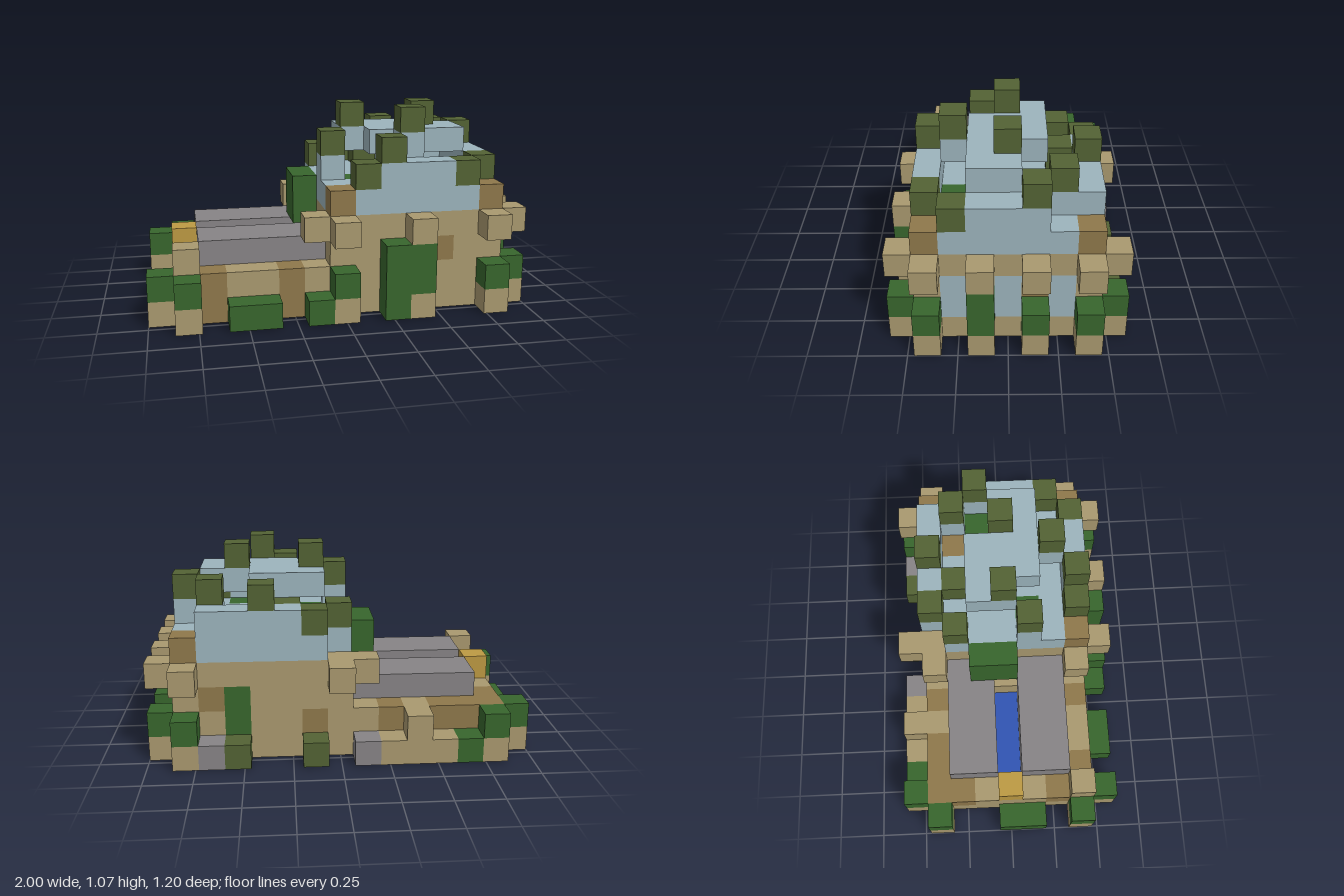
import * as THREE from 'three';
import { mergeGeometries } from 'three/addons/utils/BufferGeometryUtils.js';

const S = 2 / 15; // edge of one block
const NX = 15, NZ = 9;

const COLORS = {
  sandstone: 0xa9996f, brownStone: 0x8f784b, leafGreen: 0x38662d, moss: 0x536334,
  paleBlue: 0x9cb4bd, slate: 0x878486, water: 0x3155b3, gold: 0xbd9a43,
};

export function createModel() {
  const mats = {};
  for (const n in COLORS) {
    mats[n] = new THREE.MeshStandardMaterial({ color: COLORS[n] });
    mats[n].name = n;
  }

  // Block map: later fills replace earlier ones
  const cells = new Map();
  const key = (i, j, k) => i + ',' + j + ',' + k;
  const fill = (part, color, [i0, i1], [j0, j1], [k0, k1]) => {
    for (let i = i0; i <= i1; i++)
      for (let j = j0; j <= j1; j++)
        for (let k = k0; k <= k1; k++) {
          if (color) cells.set(key(i, j, k), { part, color, i, j, k });
          else cells.delete(key(i, j, k));
        }
  };
  const put = (part, color, list) => {
    for (const [i, j, k] of list) fill(part, color, [i, i], [j, j], [k, k]);
  };

  // Low forecourt walls
  fill('courtWall', 'sandstone', [1, 6], [0, 1], [1, 7]);
  fill('courtWall', 'brownStone', [2, 6], [0, 0], [2, 6]);
  for (const i of [2, 5]) fill('courtWall', 'brownStone', [i, i], [0, 1], [7, 7]);
  put('courtWall', 'sandstone', [[2, 1, 7]]);
  put('courtWall', 'brownStone', [[2, 1, 7], [1, 1, 1], [1, 1, 2], [1, 1, 6], [2, 1, 1], [3, 1, 1], [5, 1, 1]]);
  put('courtPost', 'sandstone', [[1, 2, 7]]);
  put('goldBlock', 'gold', [[1, 2, 4]]);

  // Two slate decks with a water channel between
  for (const k of [2, 5]) fill('slateDeck', 'slate', [2, 6], [1, 2], [k, k + 1]);
  fill('channel', null, [2, 5], [1, 1], [4, 4]);
  fill('channel', 'water', [2, 5], [0, 0], [4, 4]);

  // Main hall
  fill('hallWall', 'sandstone', [7, 13], [0, 3], [1, 7]);
  fill('hallFloor', 'brownStone', [9, 11], [0, 0], [3, 5]);
  put('hallFloor', 'brownStone', [[8, 0, 2], [8, 0, 6], [12, 0, 2], [12, 0, 6], [8, 0, 4], [12, 0, 4]]);
  put('hallWall', 'brownStone', [[11, 2, 7], [13, 2, 3], [12, 2, 1], [8, 1, 1]]);
  put('hallWall', 'leafGreen', [[11, 1, 1], [11, 2, 1]]);
  for (const k of [2, 4, 6]) fill('window', 'paleBlue', [13, 13], [1, 2], [k, k]);

  // Overhanging battlement blocks
  put('battlement', 'sandstone', [
    [7, 3, 8], [10, 3, 8], [13, 3, 8], [7, 3, 0], [13, 3, 0], [6, 3, 1], [6, 3, 7],
    [14, 3, 1], [14, 3, 3], [14, 3, 5], [14, 3, 7]]);

  // Pale upper storey with brown corners and inlaid roof blocks
  fill('upperStorey', 'paleBlue', [7, 13], [4, 4], [1, 7]);
  put('upperStorey', null, [[7, 4, 1]]);
  put('cornerBlock', 'brownStone', [[7, 4, 7], [13, 4, 7], [13, 4, 1], [11, 4, 2]]);
  put('roofPlant', 'leafGreen', [[12, 4, 3], [11, 4, 6], [8, 4, 5]]);
  put('roofGold', 'gold', [[10, 4, 4]]);

  // Raised parapets on each side
  fill('parapet', 'paleBlue', [9, 11], [5, 5], [7, 7]);
  fill('parapet', 'paleBlue', [9, 12], [5, 5], [1, 1]);
  put('parapet', 'paleBlue', [[12, 5, 2], [7, 5, 5]]);
  fill('parapet', 'paleBlue', [13, 13], [5, 5], [3, 5]);

  // Top canopy
  fill('canopy', 'paleBlue', [8, 10], [6, 6], [3, 3]);
  fill('canopy', 'paleBlue', [8, 12], [6, 6], [4, 4]);
  fill('canopy', 'paleBlue', [9, 12], [6, 6], [5, 5]);
  put('canopy', 'paleBlue', [[10, 6, 6]]);

  // Mossy crown blocks
  put('mossBlock', 'moss', [
    [8, 7, 4], [11, 7, 4], [10, 7, 6],
    [9, 6, 7], [7, 6, 5], [13, 6, 3], [12, 6, 2], [10, 6, 1],
    [8, 5, 7], [12, 5, 7], [13, 5, 6], [7, 5, 2], [8, 5, 1], [9, 5, 2],
    [8, 0, 0], [11, 0, 0]]);

  // Footings topped by shrubs
  for (const [i, k] of [[0, 1], [0, 7], [1, 8], [1, 0], [7, 8], [10, 8], [13, 8], [13, 0],
    [14, 1], [14, 3], [14, 5], [14, 7]]) {
    put('footing', 'sandstone', [[i, 0, k]]);
    put('shrub', 'leafGreen', [[i, 1, k]]);
  }
  put('shrub', 'leafGreen', [[0, 0, 4], [0, 0, 5], [3, 0, 8], [4, 0, 8], [6, 0, 8], [2, 0, 0],
    [9, 0, 8], [9, 1, 8], [9, 2, 8], [10, 2, 8], [14, 2, 5]]);
  fill('ivyTower', 'leafGreen', [6, 6], [3, 4], [3, 4]);
  put('backFooting', 'sandstone', [[3, 0, 0], [4, 0, 0], [4, 1, 0], [5, 0, 0]]);
  put('backStone', 'slate', [[6, 0, 0], [12, 0, 0]]);

  // One square per exposed block side
  const sides = [[1, 0, 0], [-1, 0, 0], [0, 1, 0], [0, -1, 0], [0, 0, 1], [0, 0, -1]];
  const square = ([x, y, z]) => {
    const g = new THREE.PlaneGeometry(S, S);
    if (x) g.rotateY(x * Math.PI / 2);
    if (y) g.rotateX(-y * Math.PI / 2);
    if (z < 0) g.rotateY(Math.PI);
    return g.translate(x * S / 2, y * S / 2, z * S / 2);
  };
  const squares = sides.map(square);

  const batches = {};
  for (const { part, color, i, j, k } of cells.values()) {
    const b = (batches[part + ' ' + color] ??= { part, color, geos: [] });
    sides.forEach(([x, y, z], n) => {
      if (cells.has(key(i + x, j + y, k + z))) return;
      b.geos.push(squares[n].clone().translate(
        (i + 0.5 - NX / 2) * S, (j + 0.5) * S, (k + 0.5 - NZ / 2) * S));
    });
  }

  const group = new THREE.Group();
  group.name = 'blockFort';
  for (const { part, color, geos } of Object.values(batches)) {
    if (!geos.length) continue;
    const mesh = new THREE.Mesh(mergeGeometries(geos), mats[color]);
    mesh.name = part;
    group.add(mesh);
  }
  return group;
}
